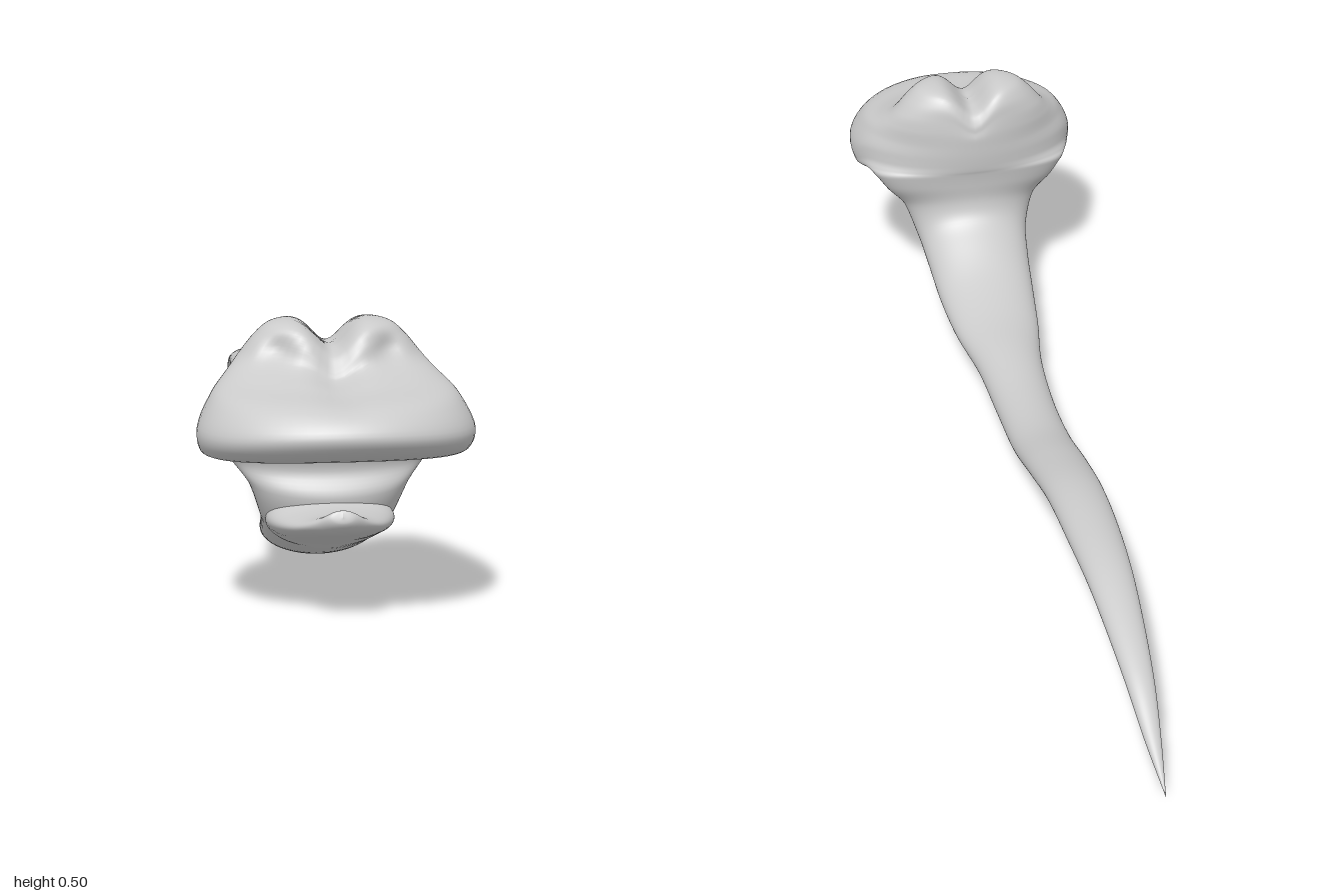
import * as THREE from 'three';

const smooth = THREE.MathUtils.smoothstep;
const bell = (d, r) => Math.exp(-(d * d) / (r * r));

// Skin a row of oval sections. Each row: [upper z, upper y, lower z, lower y, half width].
function loft(name, rows, material, shape, steps = 6, sides = 64) {
  const upper = new THREE.CatmullRomCurve3(rows.map(r => new THREE.Vector3(r[4], r[1], r[0])));
  const lower = new THREE.CatmullRomCurve3(rows.map(r => new THREE.Vector3(0, r[3], r[2])));
  const rings = (rows.length - 1) * steps;
  const pos = [], index = [];
  for (let i = 0; i <= rings; i++) {
    const u = upper.getPoint(i / rings), l = lower.getPoint(i / rings);
    const mid = new THREE.Vector3(0, (u.y + l.y) / 2, (u.z + l.z) / 2);
    for (let j = 0; j < sides; j++) {
      const a = (j / sides) * Math.PI * 2, c = Math.cos(a);
      const p = new THREE.Vector3(
        Math.max(u.x, 0) * Math.sin(a),
        mid.y + (l.y - mid.y) * c,
        mid.z + (l.z - mid.z) * c
      );
      if (shape) shape(p);
      pos.push(p.x, p.y, p.z);
      if (i < rings) {
        const k = i * sides + j, n = i * sides + ((j + 1) % sides);
        index.push(k, n, n + sides, k, n + sides, k + sides);
      }
    }
  }
  const g = new THREE.BufferGeometry();
  g.setAttribute('position', new THREE.Float32BufferAttribute(pos, 3));
  g.setIndex(index);
  g.computeVertexNormals();
  const mesh = new THREE.Mesh(g, material);
  mesh.name = name;
  return mesh;
}

// Brow groove, eye hollows and drooping mouth corners
function sculptHead(p) {
  if (p.z < 0.6 || p.y < 0.22) return;
  const { x, y, z } = p;
  const front = smooth(z, 0.72, 0.8);
  const eye = bell(Math.abs(x) - 0.095, 0.026) * bell(y - 0.462, 0.024) * front;
  p.z -= 0.022 * eye;
  p.y -= 0.046 * bell(x, 0.036) * smooth(y, 0.38, 0.49);
  p.y -= 0.018 * (x / 0.2) ** 2 * front * (1 - smooth(y, 0.34, 0.42)) * smooth(y, 0.25, 0.3);
}

export function createModel() {
  const group = new THREE.Group();
  group.name = 'worm';
  const skin = new THREE.MeshStandardMaterial({ color: 0xcccccc });

  // Tail, belly, then the spine turns upward into the neck and head
  const body = [
    [-1, 0.004, -1, 0.002, 0],
    [-0.9, 0.067, -0.9, 0.043, 0.015],
    [-0.8, 0.125, -0.8, 0.088, 0.026],
    [-0.6, 0.186, -0.6, 0.134, 0.041],
    [-0.45, 0.197, -0.45, 0.136, 0.049],
    [-0.3, 0.187, -0.3, 0.124, 0.053],
    [-0.15, 0.152, -0.15, 0.083, 0.056],
    [0, 0.112, 0, 0.037, 0.057],
    [0.15, 0.1, 0.15, 0.021, 0.058],
    [0.3, 0.107, 0.3, 0.026, 0.066],
    [0.42, 0.117, 0.43, 0.034, 0.086],
    [0.52, 0.145, 0.55, 0.049, 0.098],
    [0.59, 0.183, 0.66, 0.083, 0.106],
    [0.635, 0.217, 0.74, 0.122, 0.116],
    [0.648, 0.25, 0.785, 0.205, 0.138],
    [0.645, 0.29, 0.768, 0.25, 0.172],
    [0.64, 0.32, 0.79, 0.293, 0.2],
    [0.637, 0.33, 0.88, 0.302, 0.217],
    [0.635, 0.342, 0.96, 0.313, 0.227],
    [0.633, 0.362, 1, 0.355, 0.232],
    [0.632, 0.388, 0.968, 0.393, 0.211],
    [0.632, 0.42, 0.87, 0.415, 0.18],
    [0.635, 0.45, 0.812, 0.438, 0.155],
    [0.638, 0.477, 0.798, 0.472, 0.13],
    [0.65, 0.497, 0.782, 0.495, 0.105],
    [0.68, 0.505, 0.75, 0.505, 0.062],
    [0.715, 0.506, 0.715, 0.506, 0],
  ];
  group.add(loft('bodyAndHead', body, skin, sculptHead));

  // Short lower jaw tapering to an upturned tip
  const jaw = [
    [0.66, 0.16, 0.66, 0.14, 0],
    [0.69, 0.208, 0.69, 0.1, 0.098],
    [0.745, 0.208, 0.745, 0.119, 0.109],
    [0.8, 0.196, 0.8, 0.138, 0.094],
    [0.85, 0.196, 0.85, 0.156, 0.07],
    [0.885, 0.206, 0.89, 0.174, 0.045],
    [0.9, 0.216, 0.909, 0.194, 0.022],
    [0.905, 0.212, 0.908, 0.206, 0],
  ];
  group.add(loft('lowerJaw', jaw, skin));
  return group;
}
